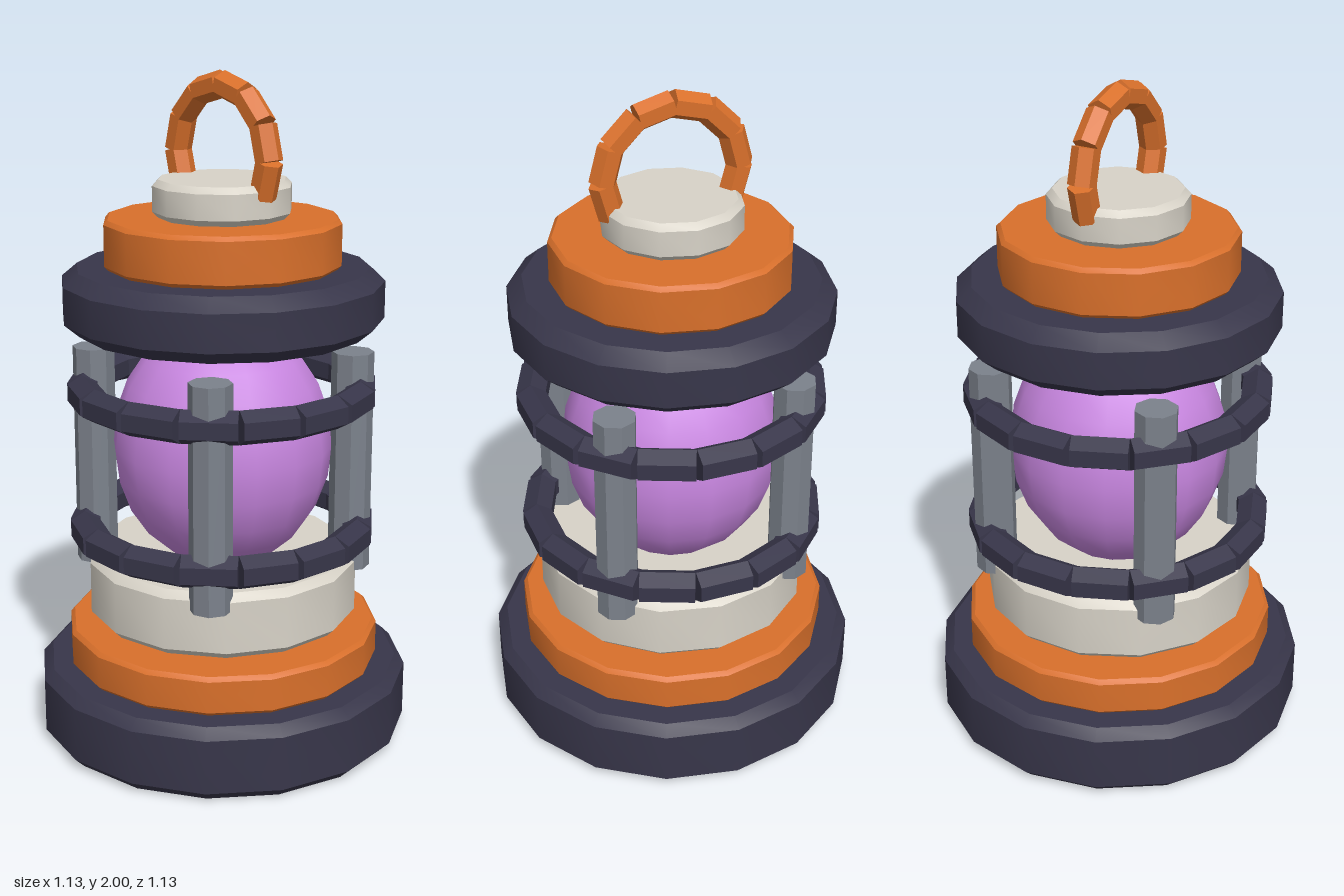
import * as THREE from 'three';
import { toCreasedNormals } from 'three/addons/utils/BufferGeometryUtils.js';

const paint = (name, color) => {
  const m = new THREE.MeshStandardMaterial({ color });
  m.name = name;
  return m;
};

export function createModel() {
  const dark = paint('dark slate', 0x38364a);
  const orange = paint('burnt orange', 0xd9702b);
  const cream = paint('cream', 0xd8d3c8);
  const violet = paint('violet glass', 0xc886e0);
  const grey = paint('steel grey', 0x7c828c);

  const model = new THREE.Group();
  model.name = 'lantern';

  const add = (parent, name, geometry, material) => {
    const mesh = new THREE.Mesh(geometry, material);
    mesh.name = name;
    parent.add(mesh);
    return mesh;
  };

  // Bevelled drum: bw is the bevel's width, bh its height
  const drum = (name, material, r, y0, y1, sides, bw, bh = bw) => {
    const profile = [
      [0, y0], [r - bw, y0], [r, y0 + bh], [r, y1 - bh], [r - bw, y1], [0, y1],
    ].map(([x, y]) => new THREE.Vector2(x, y));
    add(model, name, toCreasedNormals(new THREE.LatheGeometry(profile, sides), 0.6), material);
  };

  // Faceted straight bar along y
  const bar = (radius, length, sides, turn = 0) => {
    const g = new THREE.CylinderGeometry(radius, radius, length, sides).rotateY(turn).toNonIndexed();
    g.computeVertexNormals();
    return g;
  };

  // Straight bars laid end to end around an arc in the xy plane
  const segmentedArc = (name, geometry, material, radius, start, step, count) => {
    const group = new THREE.Group();
    group.name = name;
    for (let i = 0; i < count; i++) {
      const a = start + i * step;
      const piece = add(group, name + 'Segment', geometry, material);
      piece.position.set(radius * Math.cos(a), radius * Math.sin(a), 0);
      piece.rotation.z = a;
    }
    model.add(group);
    return group;
  };

  // Stacked base
  drum('base', dark, 0.565, 0, 0.225, 16, 0.03);
  drum('lowerCollar', orange, 0.475, 0.225, 0.345, 16, 0.012);
  drum('glassSeat', cream, 0.41, 0.37, 0.57, 14, 0.022);

  // Glass bulb
  const glass = add(model, 'glass', new THREE.SphereGeometry(0.33, 16, 12), violet);
  glass.scale.y = 1.15;
  glass.position.y = 0.9;

  // Stacked roof
  drum('roof', dark, 0.475, 1.255, 1.44, 16, 0.045, 0.038);
  drum('upperCollar', orange, 0.35, 1.44, 1.585, 14, 0.012);
  drum('cap', cream, 0.205, 1.585, 1.695, 12, 0.018);

  // Four upright posts
  const postGeometry = bar(0.063, 0.67, 8);
  for (const x of [-1, 1]) {
    for (const z of [-1, 1]) {
      add(model, 'post', postGeometry, grey).position.set(x * 0.273, 0.855, z * 0.273);
    }
  }

  // Two guard rings
  const ringStep = Math.PI / 8;
  const ringBar = bar(0.05, 2 * 0.415 * Math.sin(ringStep / 2), 6);
  for (const y of [0.645, 1.07]) {
    const ring = segmentedArc('guardRing', ringBar, dark, 0.41, 0, ringStep, 16);
    ring.rotation.x = -Math.PI / 2;
    ring.position.y = y;
  }

  // Carrying loop
  const loopStep = Math.PI / 6;
  const loopBar = bar(0.04, 0.104, 6, Math.PI / 6);
  const handle = segmentedArc('handle', loopBar, orange, 0.195, -loopStep / 2, loopStep, 8);
  handle.position.y = 1.76;

  return model;
}
